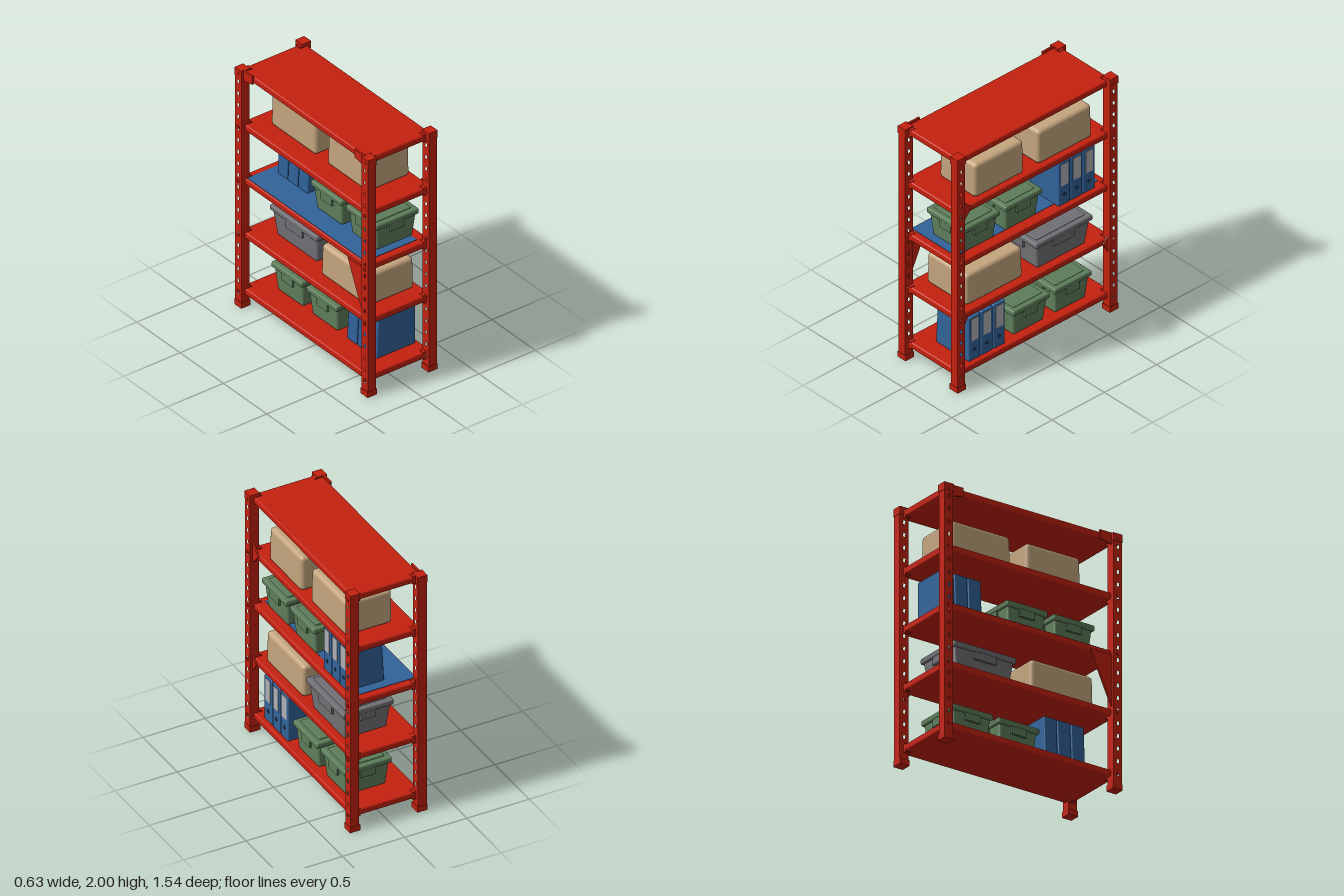
import * as THREE from 'three';
import { RoundedBoxGeometry } from 'three/addons/geometries/RoundedBoxGeometry.js';

const mat = (name, color, side = THREE.FrontSide) => {
  const m = new THREE.MeshStandardMaterial({ color, side });
  m.name = name;
  return m;
};

export function createModel() {
  const root = new THREE.Group();
  root.name = 'storageRack';
  const red = mat('rackRed', 0xc4200f);
  const tan = mat('cardboardTan', 0xc4a57e);
  const green = mat('binGreen', 0x5d7d5a);
  const grey = mat('binGrey', 0x707074);
  const blue = mat('binderBlue', 0x31639a);
  const label = mat('labelGrey', 0xb0b0b4);
  const dark = mat('fingerHoleNavy', 0x1c3550);

  const add = (name, geo, material, x = 0, y = 0, z = 0, parent = root) => {
    const m = new THREE.Mesh(geo, material);
    m.name = name;
    m.position.set(x, y, z);
    parent.add(m);
    return m;
  };
  const box = (w, h, d) => new THREE.BoxGeometry(w, h, d);
  // rounded box whose bottom is narrower (bottom < 1) or wider than its top
  const taperedBox = (w, h, d, r, bottom) => {
    const g = new RoundedBoxGeometry(w, h, d, 3, r);
    const p = g.attributes.position;
    for (let i = 0; i < p.count; i++) {
      const k = THREE.MathUtils.lerp(bottom, 1, p.getY(i) / h + 0.5);
      p.setX(i, p.getX(i) * k);
      p.setZ(i, p.getZ(i) * k);
    }
    return g;
  };
  // outline given as [z, y] points, extruded along x
  const sidePlate = (points, thickness, holes = []) => {
    const shape = new THREE.Shape(points.map(([z, y]) => new THREE.Vector2(-z, y)));
    shape.holes = holes.map(h => new THREE.Path(h.map(([z, y]) => new THREE.Vector2(-z, y))));
    const g = new THREE.ExtrudeGeometry(shape, { depth: thickness, bevelEnabled: false });
    g.translate(0, 0, -thickness / 2);
    g.rotateY(Math.PI / 2);
    return g;
  };

  // Perforated posts with feet
  const slots = [];
  for (let i = 0; i < 19; i++) {
    const y = 0.12 + i * 0.098;
    slots.push([[-0.01, y - 0.013], [0.008, y - 0.016], [0.012, y + 0.012], [-0.004, y + 0.017]]);
  }
  const postGeo = sidePlate([[-0.037, 0], [0.037, 0], [0.037, 1.985], [-0.037, 1.985]], 0.07, slots);
  for (const sx of [-1, 1]) {
    for (const sz of [-1, 1]) {
      add('post', postGeo, red, sx * 0.272, 0, sz * 0.73);
      add('foot', box(0.082, 0.045, 0.082), red, sx * 0.27, 0.0225, sz * 0.729);
      add('postCap', box(0.078, 0.06, 0.08), red, sx * 0.271, sx > 0 ? 1.97 : 1.955, sz * 0.73);
    }
  }

  // Shelves: a deck notched around the posts
  const deck = new THREE.Shape();
  const outline = [[0.265, 0.68], [0.205, 0.68], [0.205, 0.723]];
  const corners = [
    ...outline,
    ...outline.map(([x, z]) => [-x, z]).reverse(),
    ...outline.map(([x, z]) => [-x, -z]),
    ...outline.map(([x, z]) => [x, -z]).reverse(),
  ];
  deck.setFromPoints(corners.map(([x, z]) => new THREE.Vector2(x, z)));
  const deckGeo = new THREE.ExtrudeGeometry(deck, {
    depth: 0.03, bevelThickness: 0.012, bevelSize: 0.012, bevelSegments: 3,
  });
  deckGeo.rotateX(-Math.PI / 2);
  deckGeo.translate(0, -0.042, 0);
  const levels = [0.155, 0.627, 1.08, 1.53, 1.977];
  for (const top of levels) {
    add('shelf', deckGeo, red, 0, top, 0);
    for (const sx of [-1, 1]) {
      for (const sz of [-1, 1]) {
        add('beamClip', box(0.03, 0.062, 0.04), red, sx * 0.225, top - 0.029, sz * 0.715);
        add('bolt', new THREE.CylinderGeometry(0.014, 0.014, 0.012, 8).rotateZ(Math.PI / 2),
          red, sx * 0.307, top - 0.027, sz * 0.73);
      }
    }
  }
  add('shelfLiner', box(0.46, 0.004, 1.36), blue, -0.035, 1.081, 0);

  // Corner braces
  const brace = (x, pts) => add('brace', sidePlate(pts, 0.014), red, x, 0, 0);
  brace(0.283, [[0.7, 1.42], [0.61, 1.52], [0.7, 1.61]]);
  brace(-0.283, [[0.7, 0.62], [0.7, 1.04], [0.51, 1.04]]);
  for (const s of [-1, 1]) {
    brace(0.28, [[s * 0.7, 0.5], [s * 0.645, 0.59], [s * 0.7, 0.65]]);
    brace(-0.283, [[s * 0.7, 1.9], [s * 0.59, 1.92], [s * 0.59, 1.988], [s * 0.7, 1.988]]);
  }

  // Cardboard boxes
  const carton = (x0, x1, y, h, z0, z1) =>
    add('cardboardBox', taperedBox(x1 - x0, h, z1 - z0, 0.03, 1.02), tan,
      (x0 + x1) / 2, y + h / 2, (z0 + z1) / 2);
  carton(-0.13, 0.24, 1.53, 0.28, 0.07, 0.535);
  carton(-0.13, 0.24, 1.53, 0.28, -0.58, -0.07);
  carton(-0.185, 0.225, 0.627, 0.26, 0.07, 0.605);

  // Lidded bins with handles on all four sides
  const bin = (material, x0, x1, y, h, z0, z1) => {
    const g = new THREE.Group();
    g.name = 'storageBin';
    g.position.set((x0 + x1) / 2, y, (z0 + z1) / 2);
    root.add(g);
    const w = x1 - x0, d = z1 - z0;
    add('binBody', taperedBox(w - 0.025, h - 0.02, d - 0.025, 0.018, 0.88), material, 0, (h - 0.02) / 2, 0, g);
    add('lidRim', new RoundedBoxGeometry(w, 0.045, d, 3, 0.012), material, 0, h - 0.0275, 0, g);
    add('lidPanel', new RoundedBoxGeometry(w - 0.08, 0.02, d - 0.08, 2, 0.006), material, 0, h - 0.008, 0, g);
    for (const s of [-1, 1]) {
      add('handle', box(0.025, 0.06, d * 0.36), material, s * (w / 2 - 0.016), h - 0.075, 0, g);
      add('handle', box(w * 0.3, 0.06, 0.025), material, 0, h - 0.075, s * (d / 2 - 0.016), g);
    }
  };
  bin(green, -0.145, 0.24, 1.08, 0.237, 0.295, 0.65);
  bin(green, -0.145, 0.24, 1.08, 0.237, -0.11, 0.245);
  bin(green, -0.135, 0.25, 0.155, 0.237, -0.175, 0.18);
  bin(green, -0.135, 0.25, 0.155, 0.237, -0.575, -0.22);
  bin(grey, -0.15, 0.26, 0.627, 0.25, -0.575, -0.03);

  // Binders in sets of three, spines facing +x
  const binderSet = (xBack, y, h, zFirst) => {
    for (let i = 0; i < 3; i++) {
      const g = new THREE.Group();
      g.name = 'binder';
      g.position.set(0.245, y, zFirst - 0.055 - i * 0.118);
      root.add(g);
      const w = 0.245 - xBack;
      const geo = new RoundedBoxGeometry(w, h, 0.11, 2, 0.008);
      const p = geo.attributes.position;
      // back edge leans slightly forward
      for (let j = 0; j < p.count; j++) {
        if (p.getX(j) < 0) p.setX(j, p.getX(j) + 0.02 * (p.getY(j) / h + 0.5));
      }
      add('binderCover', geo, blue, -w / 2, h / 2, 0, g);
      add('spineLabel', box(0.005, h * 0.5, 0.07), label, 0.001, h * 0.7, 0, g);
      add('fingerHole', new THREE.CylinderGeometry(0.015, 0.015, 0.006, 12).rotateZ(Math.PI / 2),
        dark, 0.001, h * 0.24, 0, g);
    }
  };
  binderSet(-0.1, 0.155, 0.375, 0.6);
  binderSet(-0.055, 1.08, 0.37, -0.26);

  return root;
}
